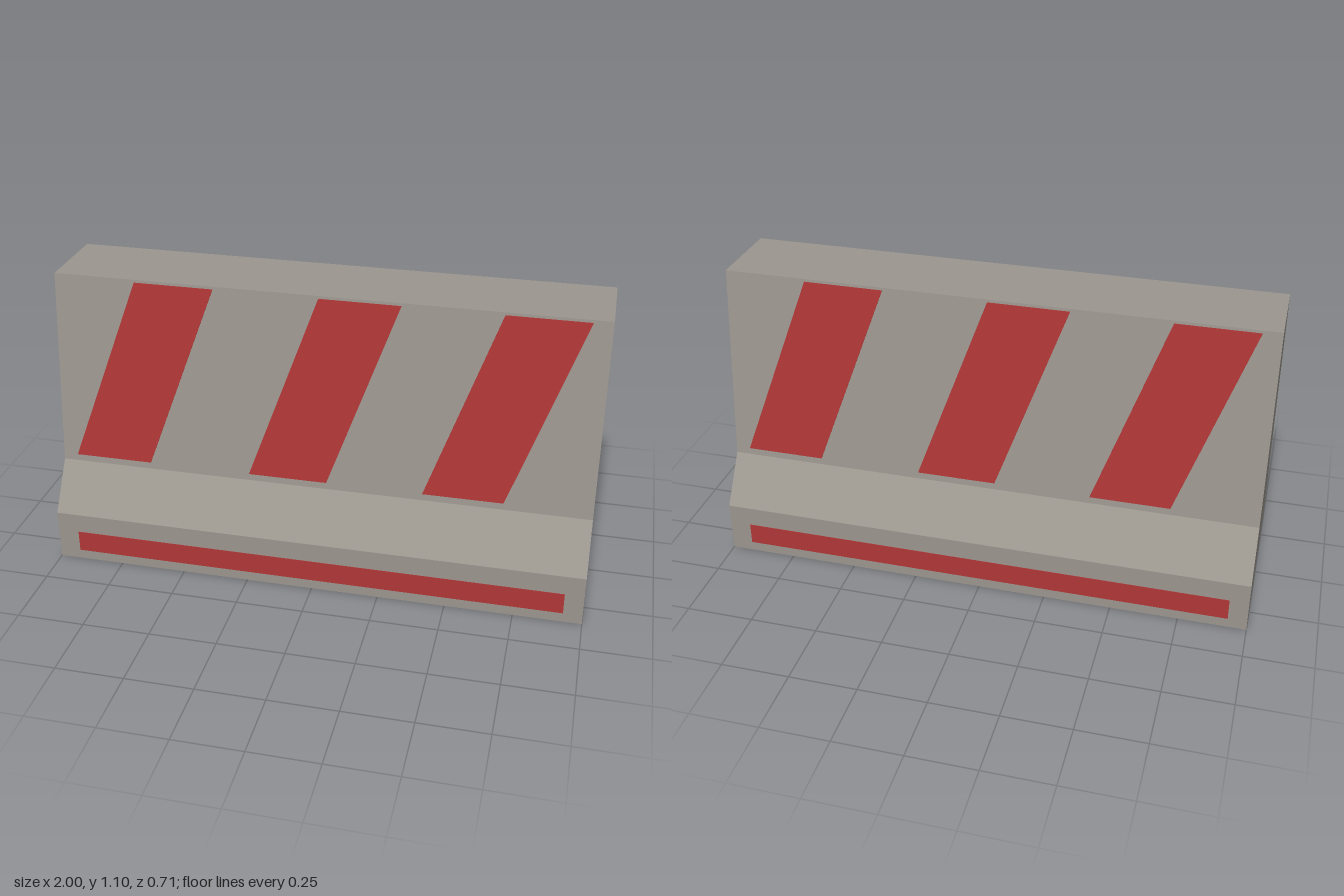
import * as THREE from 'three';

const TOP = 1.1, KNEE = 0.37, TOE = 0.195;
const Z_TOP = 0.155, Z_KNEE = 0.237, Z_BASE = 0.353;

// Depth of the front surface of the barrier at a height
function surfaceZ(y) {
  if (y <= TOE) return Z_BASE;
  if (y <= KNEE) return THREE.MathUtils.mapLinear(y, TOE, KNEE, Z_BASE, Z_KNEE);
  return THREE.MathUtils.mapLinear(y, KNEE, TOP, Z_KNEE, Z_TOP);
}

// Thin painted plate drawn in x, y and sheared to lie on the surface
function paintedPlate(points, material, name) {
  const shape = new THREE.Shape(points.map(([x, y]) => new THREE.Vector2(x, y)));
  const geometry = new THREE.ExtrudeGeometry(shape, { depth: 0.005, bevelEnabled: false });
  const pos = geometry.attributes.position;
  for (let i = 0; i < pos.count; i++) {
    pos.setZ(i, pos.getZ(i) - 0.003 + surfaceZ(pos.getY(i)));
  }
  geometry.computeVertexNormals();
  const mesh = new THREE.Mesh(geometry, material);
  mesh.name = name;
  return mesh;
}

// Painted markings of one long side
function createMarkings(red, name) {
  const side = new THREE.Group();
  side.name = name;
  const y0 = 0.395, y1 = 1.09, width = 0.295, lean = 0.25;
  for (const x of [-0.945, -0.265, 0.387]) {
    side.add(paintedPlate(
      [[x, y0], [x + width, y0], [x + width + lean, y1], [x + lean, y1]],
      red, 'slantedStripe'));
  }
  side.add(paintedPlate(
    [[-0.92, 0.038], [0.93, 0.038], [0.93, 0.12], [-0.92, 0.12]],
    red, 'baseStripe'));
  return side;
}

export function createModel() {
  const concrete = new THREE.MeshStandardMaterial({ color: 0x9b968e });
  concrete.name = 'concrete grey';
  const red = new THREE.MeshStandardMaterial({ color: 0xb03636 });
  red.name = 'warning red';

  const model = new THREE.Group();
  model.name = 'roadBarrier';

  // Concrete body: symmetric profile extruded along x
  const half = [[Z_BASE, 0], [Z_BASE, TOE], [Z_KNEE, KNEE], [Z_TOP, TOP]];
  const outline = [...half, ...half.map(([z, y]) => [-z, y]).reverse()];
  const profile = new THREE.Shape(outline.map(([z, y]) => new THREE.Vector2(z, y)));
  const bodyGeometry = new THREE.ExtrudeGeometry(profile, { depth: 2, bevelEnabled: false });
  bodyGeometry.translate(0, 0, -1).rotateY(Math.PI / 2);
  const body = new THREE.Mesh(bodyGeometry, concrete);
  body.name = 'body';
  model.add(body);

  // Same markings on both long sides, turned half round for the back
  const back = createMarkings(red, 'backMarkings');
  back.rotation.y = Math.PI;
  model.add(createMarkings(red, 'frontMarkings'), back);
  return model;
}
